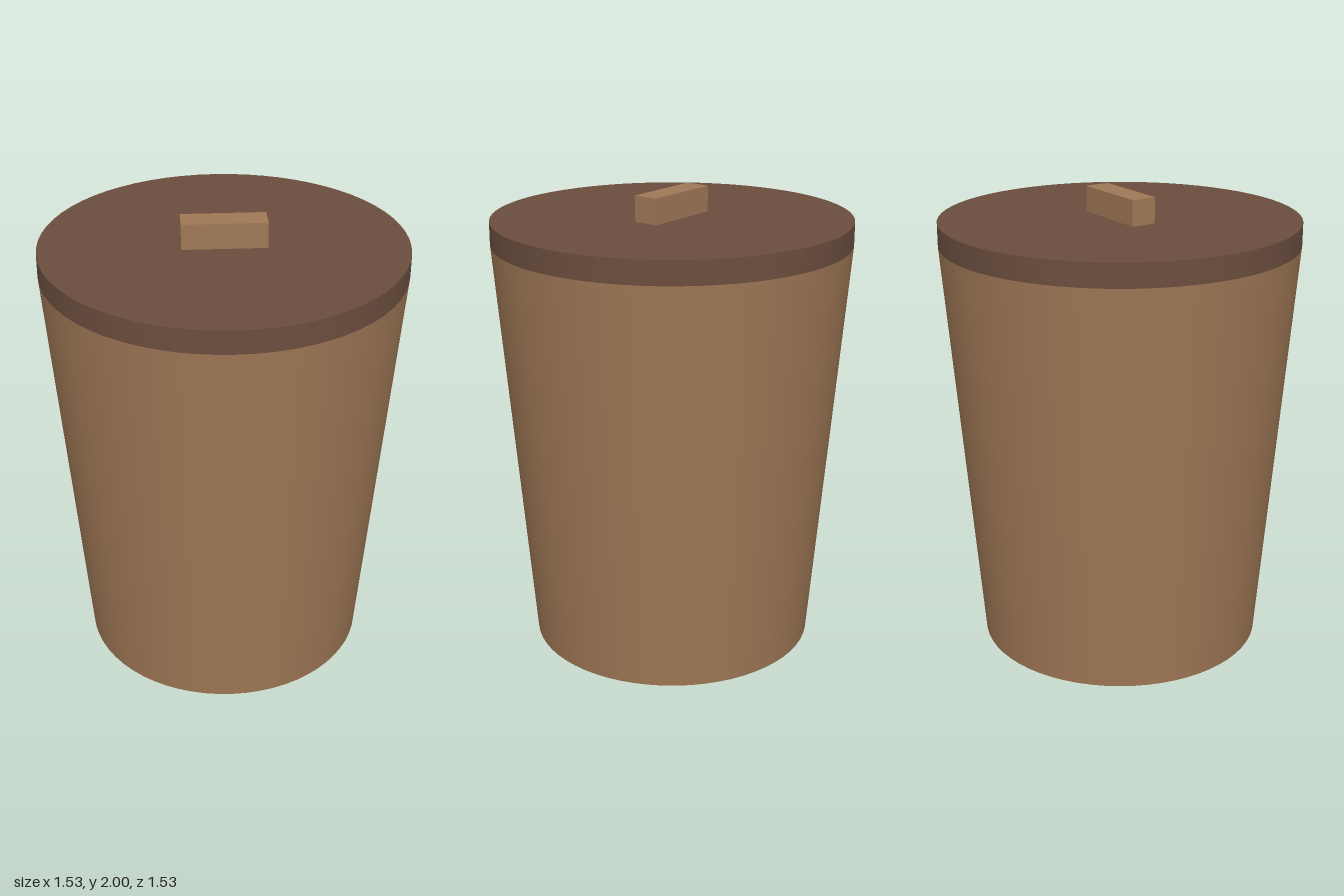
import * as THREE from 'three';

export function createModel() {
  const model = new THREE.Group();
  model.name = 'liddedBin';

  const tan = new THREE.MeshStandardMaterial({ color: 0xa07856 });
  tan.name = 'tanWood';
  const brown = new THREE.MeshStandardMaterial({ color: 0x6b4e3e });
  brown.name = 'darkBrown';

  const add = (name, geometry, material, y) => {
    const mesh = new THREE.Mesh(geometry, material);
    mesh.name = name;
    mesh.position.y = y;
    model.add(mesh);
  };

  const bodyTop = 1.79, lidTop = 1.89, height = 2, radius = 0.765;

  // Tapered tub
  add('body', new THREE.CylinderGeometry(radius, 0.62, bodyTop, 64), tan, bodyTop / 2);

  // Flat disc lid
  add('lid', new THREE.CylinderGeometry(radius, radius, lidTop - bodyTop, 64), brown, (bodyTop + lidTop) / 2);

  // Block grip on the lid
  add('handle', new THREE.BoxGeometry(0.355, height - lidTop, 0.11), tan, (lidTop + height) / 2);

  return model;
}
